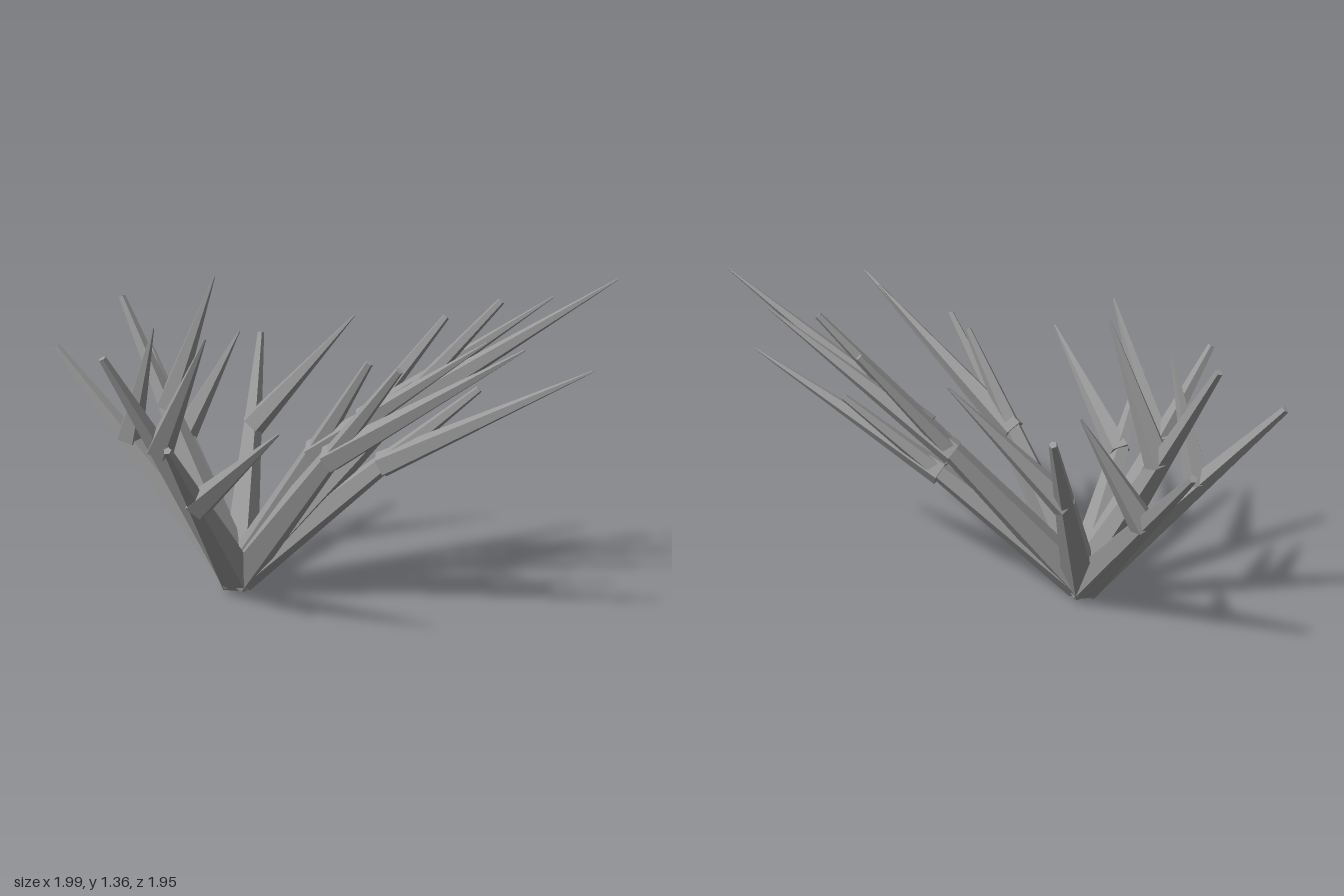
import * as THREE from 'three';

const UP = new THREE.Vector3(0, 1, 0);

export function createModel() {
  const model = new THREE.Group();
  model.name = 'spikyShrub';
  const grey = new THREE.MeshStandardMaterial({ color: 0x999999, flatShading: true });
  grey.name = 'grey';

  // A tapered five-sided spike running between two points
  function spike(name, from, to, baseRadius, tipRadius) {
    const axis = to.clone().sub(from);
    const geometry = new THREE.CylinderGeometry(tipRadius, baseRadius, axis.length(), 5);
    const mesh = new THREE.Mesh(geometry, grey);
    mesh.name = name;
    mesh.quaternion.setFromUnitVectors(UP, axis.normalize());
    mesh.position.copy(from).add(to).multiplyScalar(0.5);
    return mesh;
  }

  // Each arm: tip of the straight stem, then tip of its side thorn
  const arms = [
    [[-0.98, 1.0, -0.66], [-0.65, 1.12, -0.30]],
    [[-0.68, 1.19, -0.70], [-0.37, 1.31, -0.35]],
    [[-0.49, 0.90, -0.97], [-0.18, 1.02, -0.61]],
    [[-0.04, 0.98, -0.73], [0.27, 1.10, -0.37]],
    [[-0.92, 1.06, -0.06], [-0.61, 1.18, 0.30]],
    [[-0.80, 0.80, 0.42], [-0.49, 0.92, 0.77]],
    [[0.04, 1.07, 0.61], [0.36, 1.19, 0.97]],
    [[0.01, 1.06, 0.40], [0.33, 1.18, 0.75]],
    [[0.55, 1.13, -0.04], [0.86, 1.25, 0.31]],
    [[0.67, 1.23, 0.22], [0.99, 1.35, 0.57]],
    [[0.58, 0.87, 0.22], [0.90, 0.99, 0.57]],
  ];
  const root = new THREE.Vector3(-0.36, 0.06, -0.135);

  for (const [stemEnd, thornEnd] of arms) {
    const arm = new THREE.Group();
    arm.name = 'arm';
    const tip = new THREE.Vector3(...stemEnd);
    const joint = root.clone().lerp(tip, 0.6);
    arm.add(spike('stem', root, tip, 0.085, 0.016));
    arm.add(spike('sideThorn', joint, new THREE.Vector3(...thornEnd), 0.058, 0.004));
    model.add(arm);
  }
  return model;
}
